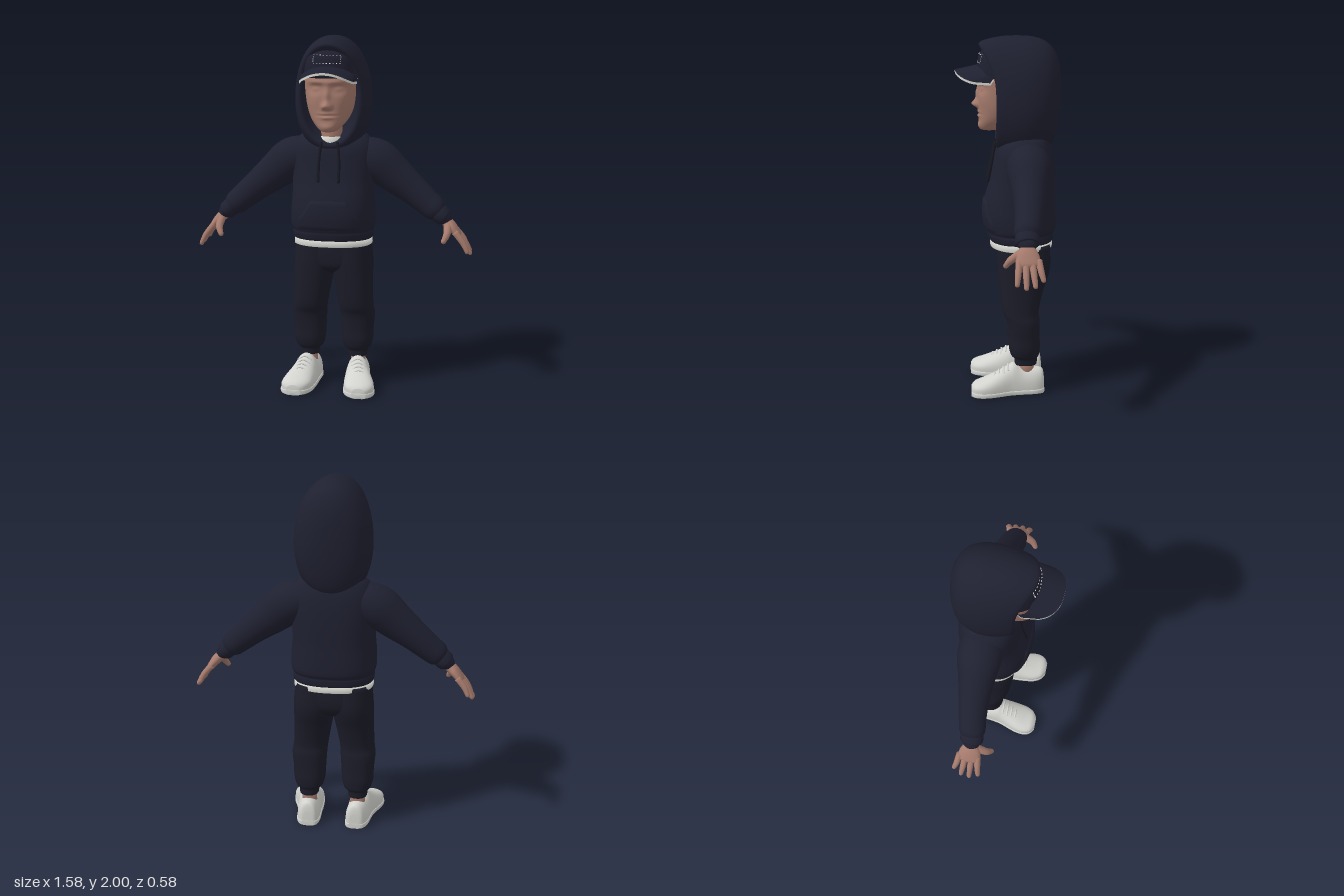
import * as THREE from 'three';

const mat = (name, color, side = THREE.FrontSide) =>
  Object.assign(new THREE.MeshStandardMaterial({ color, side }), { name });
const spow = (v, p) => Math.sign(v) * Math.abs(v) ** p;
const TAU = Math.PI * 2;

// Catmull-Rom resampling of rows of numbers
function smooth(rows, k = 4) {
  const out = [];
  for (let i = 0; i < rows.length - 1; i++) {
    const [a, b, c, d] = [rows[Math.max(i - 1, 0)], rows[i], rows[i + 1], rows[Math.min(i + 2, rows.length - 1)]];
    for (let s = 0; s < k; s++) {
      const t = s / k;
      out.push(b.map((_, m) => b[m] + 0.5 * t * (c[m] - a[m] + t * (2 * a[m] - 5 * b[m] + 4 * c[m] - d[m]
        + t * (3 * (b[m] - c[m]) + d[m] - a[m])))));
    }
  }
  return [...out, rows.at(-1)];
}

function buildGeometry(pos, idx) {
  const g = new THREE.BufferGeometry();
  g.setAttribute('position', new THREE.Float32BufferAttribute(pos, 3));
  g.setIndex(idx);
  g.computeVertexNormals();
  return g;
}

// Closed rings of points joined into a skin, with end caps
function skin(rings, capStart = true, capEnd = true) {
  const n = rings[0].length, pos = rings.flat(2), idx = [];
  for (let i = 0; i < rings.length - 1; i++) for (let j = 0; j < n; j++) {
    const a = i * n + j, b = i * n + (j + 1) % n;
    idx.push(a, b, b + n, a, b + n, a + n);
  }
  const cap = (ring, base, flip) => {
    const c = pos.length / 3;
    pos.push(...[0, 1, 2].map(m => ring.reduce((s, p) => s + p[m], 0) / n));
    for (let j = 0; j < n; j++) {
      const a = base + j, b = base + (j + 1) % n;
      idx.push(c, flip ? b : a, flip ? a : b);
    }
  };
  if (capStart) cap(rings[0], 0, true);
  if (capEnd) cap(rings.at(-1), (rings.length - 1) * n, false);
  return buildGeometry(pos, idx);
}

// Open sheet from a function of (u, v) in 0..1
function sheet(nu, nv, fn) {
  const pos = [], idx = [];
  for (let i = 0; i <= nv; i++) for (let j = 0; j <= nu; j++) pos.push(...fn(j / nu, i / nv));
  for (let i = 0; i < nv; i++) for (let j = 0; j < nu; j++) {
    const a = i * (nu + 1) + j, c = a + nu + 1;
    idx.push(a, a + 1, c + 1, a, c + 1, c);
  }
  return buildGeometry(pos, idx);
}

// Horizontal rings from rows [y, xMin, xMax, zFront, zBack]
const yRings = (rows, n = 48, e = 2.4) => rows.map(([y, x0, x1, zf, zb]) =>
  Array.from({ length: n }, (_, j) => {
    const a = j / n * TAU;
    return [(x0 + x1) / 2 + (x1 - x0) / 2 * spow(Math.sin(a), 2 / e), y,
      (zf + zb) / 2 + (zf - zb) / 2 * spow(Math.cos(a), 2 / e)];
  }));

// Rounded limb along points [x, y, z, radiusAcrossZ, radiusOther]
function limb(points, n = 16, k = 4) {
  const p = smooth(points, k), V = q => new THREE.Vector3(q[0], q[1], q[2]), rings = [];
  const ring = (c, t, ra, rb) => {
    const u = new THREE.Vector3(0, 0, 1).addScaledVector(t, -t.z).normalize(), v = t.clone().cross(u);
    rings.push(Array.from({ length: n }, (_, j) => c.clone().addScaledVector(u, ra * Math.cos(j / n * TAU))
      .addScaledVector(v, rb * Math.sin(j / n * TAU)).toArray()));
  };
  p.forEach((q, i) => {
    const t = V(p[Math.min(i + 1, p.length - 1)]).sub(V(p[Math.max(i - 1, 0)])).normalize();
    ring(V(q), t, q[3], q[4]);
    if (i === p.length - 1) for (const [d, s] of [[0.5, 0.85], [0.85, 0.5]])
      ring(V(q).addScaledVector(t, q[4] * d), t, q[3] * s, q[4] * s);
  });
  return skin(rings);
}

export function createModel() {
  const group = new THREE.Group();
  const navy = mat('navy fabric', 0x1f2030, THREE.DoubleSide), trouser = mat('dark trouser fabric', 0x1b1c28);
  const skinTone = mat('skin', 0xa67b6d), white = mat('white cloth', 0xd6d6d0, THREE.DoubleSide);
  const shoeMat = mat('shoe leather', 0xd2d2ce), cordMat = mat('cord', 0x171822);
  const add = (name, geo, m) => {
    const mesh = new THREE.Mesh(geo, m);
    mesh.name = name;
    group.add(mesh);
  };
  const addPair = (name, geo, m) => {
    add('left ' + name, geo, m);
    const g = geo.clone().scale(-1, 1, 1), ix = g.index.array;
    for (let i = 0; i < ix.length; i += 3) [ix[i], ix[i + 1]] = [ix[i + 1], ix[i]];
    g.computeVertexNormals();
    add('right ' + name, g, m);
  };
  const even = rows => rows.map(([y, w, f, b]) => [y, -w, w, f, b]);

  // Hoodie body with ribbed hem
  const torso = smooth(even([[0.865, 0.212, 0.092, -0.242], [0.875, 0.224, 0.105, -0.252], [0.905, 0.228, 0.115, -0.256],
    [0.918, 0.225, 0.116, -0.256], [0.945, 0.236, 0.126, -0.268], [1.02, 0.237, 0.138, -0.268], [1.1, 0.231, 0.13, -0.265],
    [1.2, 0.23, 0.1, -0.265], [1.3, 0.235, 0.08, -0.26], [1.37, 0.232, 0.068, -0.25], [1.42, 0.21, 0.045, -0.235],
    [1.455, 0.175, 0, -0.215], [1.475, 0.12, -0.05, -0.17]]));
  add('hoodie body', skin(yRings(torso)), navy);
  const frontZ = (rows, x, y, e = 2.4) => {
    const i = Math.max(1, rows.findIndex(r => r[0] >= y)), a = rows[i - 1], b = rows[i], t = (y - a[0]) / (b[0] - a[0]);
    const [, , w, f, k] = a.map((v, m) => v + (b[m] - v) * t);
    return (f + k) / 2 + (f - k) / 2 * (1 - Math.abs(x / w) ** e) ** (1 / e);
  };
  add('front pocket', sheet(24, 12, (u, v) => {
    const y = 0.93 + 0.175 * v, x = (u * 2 - 1) * (v < 0.35 ? 0.185 : 0.185 - 0.085 * ((v - 0.35) / 0.65) ** 0.8);
    return [x, y, frontZ(torso, x, y) + (u % 1 && v % 1 ? 0.008 : -0.003)];
  }), navy);
  add('shirt hem', skin(yRings(even([[0.832, 0.215, 0.09, -0.24], [0.836, 0.222, 0.1, -0.248], [0.875, 0.22, 0.1, -0.248]]))), white);

  // Sleeves and cuffs
  addPair('sleeve', limb([[0.13, 1.34, -0.105, 0.11, 0.1], [0.24, 1.305, -0.105, 0.122, 0.12], [0.34, 1.228, -0.102, 0.1, 0.105],
    [0.44, 1.15, -0.098, 0.084, 0.086], [0.53, 1.075, -0.088, 0.075, 0.074], [0.575, 1.038, -0.08, 0.072, 0.068],
    [0.597, 1.02, -0.078, 0.06, 0.052]], 28), navy);
  addPair('cuff', limb([[0.585, 1.03, -0.078, 0.058, 0.05], [0.6, 1.016, -0.077, 0.064, 0.054],
    [0.626, 0.993, -0.076, 0.062, 0.05], [0.632, 0.988, -0.076, 0.05, 0.04]], 28), navy);

  // Hands
  addPair('palm', limb([[0.6, 1.005, -0.075, 0.038, 0.033], [0.64, 0.972, -0.075, 0.041, 0.03],
    [0.67, 0.945, -0.075, 0.058, 0.028], [0.705, 0.902, -0.078, 0.064, 0.021]], 20), skinTone);
  [['little finger', -0.13, -0.152, 0.75, 0.832], ['ring finger', -0.097, -0.11, 0.772, 0.806],
    ['middle finger', -0.063, -0.064, 0.776, 0.798], ['index finger', -0.03, -0.017, 0.762, 0.812]].forEach(([name, z0, z1, x, y]) =>
    addPair(name, limb([[0.69, 0.92, z0, 0.018, 0.018], [(0.712 + x) / 2, (0.91 + y) / 2, (z0 + z1) / 2, 0.0165, 0.0165],
      [x, y, z1, 0.0125, 0.0125]], 12), skinTone));
  addPair('thumb', limb([[0.65, 0.955, -0.05, 0.024, 0.024], [0.65, 0.915, 0.008, 0.02, 0.02], [0.633, 0.878, 0.036, 0.014, 0.014]], 12), skinTone);

  // Trousers
  addPair('trouser leg', skin(yRings(smooth([[0.165, 0.095, 0.185, -0.04, -0.15], [0.172, 0.087, 0.194, -0.032, -0.158],
    [0.205, 0.083, 0.198, -0.03, -0.16], [0.222, 0.062, 0.214, -0.012, -0.17], [0.27, 0.05, 0.228, 0, -0.176],
    [0.33, 0.046, 0.23, 0, -0.174], [0.42, 0.04, 0.238, 0.01, -0.174], [0.48, 0.034, 0.23, 0.035, -0.168],
    [0.6, 0.012, 0.225, 0.05, -0.195], [0.68, -0.004, 0.225, 0.056, -0.222], [0.75, -0.015, 0.223, 0.06, -0.234],
    [0.86, -0.015, 0.212, 0.06, -0.23]]), 36, 2.3)), trouser);
  add('trouser seat', skin(yRings(smooth(even([[0.66, 0.04, -0.02, -0.14], [0.7, 0.15, 0.045, -0.21],
    [0.76, 0.215, 0.06, -0.234], [0.86, 0.215, 0.06, -0.232]])))), trouser);

  // Shoes, lofted from heel to toe with rows [z, centre, half width, height]
  const shoe = smooth([[-0.2, 0.135, 0.028, 0.085], [-0.19, 0.136, 0.048, 0.135], [-0.15, 0.14, 0.062, 0.146],
    [-0.08, 0.145, 0.066, 0.15], [-0.03, 0.15, 0.068, 0.178], [0, 0.153, 0.072, 0.165], [0.05, 0.163, 0.08, 0.137],
    [0.1, 0.173, 0.086, 0.113], [0.15, 0.18, 0.084, 0.092], [0.19, 0.184, 0.066, 0.078], [0.212, 0.186, 0.034, 0.058]]);
  const shoeRings = (grow, height) => shoe.map(([z, cx, w, h]) => Array.from({ length: 32 }, (_, j) => {
    const s = Math.sin(j / 32 * TAU), c = Math.cos(j / 32 * TAU), top = height ?? h, mid = Math.min(0.045, top * 0.6);
    return [cx - (w + grow) * spow(s, c < 0 || height ? 0.4 : 0.95),
      mid + (c > 0 ? (top - mid) * spow(c, height ? 0.4 : 0.9) : mid * spow(c, 0.4)), z * (1 + grow)];
  }));
  addPair('shoe upper', skin(shoeRings(0)), shoeMat);
  addPair('shoe sole', skin(shoeRings(0.004, 0.032)), shoeMat);
  for (let i = 0; i < 4; i++) {
    const z = 0.005 + i * 0.026, y = 0.165 - i * 0.0142, x = 0.155 + i * 0.005;
    addPair('shoe lace ' + (i + 1), limb([[x - 0.04, y - 0.02, z, 0.006, 0.005], [x, y + 0.003, z, 0.006, 0.005],
      [x + 0.04, y - 0.02, z, 0.006, 0.005]], 8), shoeMat);
  }
  addPair('ankle', skin(yRings([[0.1, 0.095, 0.185, -0.05, -0.145], [0.18, 0.1, 0.18, -0.055, -0.14]], 24, 2)), skinTone);

  // Head: smooth rings with bumps [x, y, width, height, depth] for the features
  const bumps = [[0, 1.632, 0.015, 0.015, 0.032], [0, 1.68, 0.012, 0.035, 0.015], [0, 1.588, 0.026, 0.006, 0.007],
    [0, 1.567, 0.024, 0.007, 0.009], [0, 1.578, 0.034, 0.003, -0.008], [0, 1.512, 0.025, 0.013, 0.005]];
  for (const s of [-1, 1]) bumps.push([s * 0.018, 1.625, 0.008, 0.009, 0.014], [s * 0.064, 1.724, 0.03, 0.018, -0.024],
    [s * 0.064, 1.721, 0.02, 0.01, 0.014], [s * 0.055, 1.757, 0.035, 0.009, 0.008], [s * 0.085, 1.65, 0.03, 0.03, 0.005]);
  const headRings = yRings(smooth(even([[1.484, 0.02, 0.13, 0.07], [1.491, 0.045, 0.152, 0.02], [1.515, 0.072, 0.161, -0.03],
    [1.55, 0.1, 0.16, -0.08], [1.6, 0.122, 0.16, -0.12], [1.66, 0.135, 0.162, -0.14], [1.74, 0.143, 0.168, -0.15],
    [1.8, 0.14, 0.16, -0.15], [1.88, 0.11, 0.12, -0.12]]), 9), 160, 2.3);
  for (const p of headRings.flat()) if (p[2] > 0.02)
    p[2] += bumps.reduce((t, [x, y, sx, sy, d]) => t + d * Math.exp(-(((p[0] - x) / sx) ** 2 + ((p[1] - y) / sy) ** 2) / 2), 0);
  add('head', skin(headRings), skinTone);
  add('neck', skin(yRings(even([[1.35, 0.06, 0.048, -0.07], [1.56, 0.06, 0.05, -0.07]]), 24, 2)), skinTone);
  add('shirt collar', skin(yRings(even([[1.36, 0.068, 0.06, -0.08], [1.45, 0.066, 0.058, -0.08]]), 28, 2)), white);

  // Hood, from inner lining over the rim to the back, rows [z, half width, top, bottom]
  const hood = smooth([[-0.03, 0.115, 1.9, 1.47], [0.03, 0.145, 1.922, 1.43], [0.055, 0.15, 1.926, 1.42], [0.068, 0.164, 1.94, 1.405],
    [0.062, 0.182, 1.96, 1.385], [0.03, 0.197, 1.98, 1.36], [-0.04, 0.211, 2, 1.33], [-0.12, 0.213, 1.999, 1.33],
    [-0.2, 0.19, 1.975, 1.37], [-0.25, 0.15, 1.93, 1.42], [-0.28, 0.09, 1.86, 1.53], [-0.292, 0.03, 1.78, 1.65]]);
  add('hood', skin(hood.map(([z, w, top, bot]) => Array.from({ length: 56 }, (_, j) => {
    const s = Math.sin(j / 56 * TAU), c = Math.cos(j / 56 * TAU), cy = bot + (top - bot) * 0.48;
    const y = cy + (c > 0 ? top - cy : cy - bot) * spow(c, 0.95);
    const lean = THREE.MathUtils.clamp((z + 0.12) / 0.18, 0, 1);
    return [w * spow(s, 0.95), y, z + lean * 0.09 * (Math.max(0, y - 1.7) / 0.25) ** 2];
  })), false, true), navy);
  addPair('drawcord', limb([[0.045, 1.425, 0.07, 0.008, 0.008], [0.054, 1.35, 0.085, 0.008, 0.008],
    [0.057, 1.28, 0.098, 0.008, 0.008], [0.057, 1.21, 0.112, 0.009, 0.009]], 8), cordMat);

  // Cap crown, brim and stitched badge
  const crown = smooth(even([[1.78, 0.148, 0.17, -0.15], [1.85, 0.147, 0.166, -0.15], [1.9, 0.138, 0.157, -0.14], [1.945, 0.1, 0.12, -0.1]]));
  add('cap crown', skin(yRings(crown)), navy);
  const brim = (u, v) => {
    const x = u * 2 - 1, r = (1 - Math.abs(x) ** 2.6) ** (1 / 2.6), z0 = 0.08 + 0.07 * r, z1 = 0.1 + 0.19 * r;
    return [0.155 * x, 1.848 - 0.03 * v - 0.058 * x * x, z0 + (z1 - z0) * v];
  };
  const drop = ([x, y, z], d) => [x, y - d, z];
  add('brim top', sheet(40, 8, (u, v) => brim(u, 1 - v)), navy);
  add('brim underside', sheet(40, 8, (u, v) => drop(brim(u, v), 0.013)), white);
  add('brim edge', sheet(40, 1, (u, v) => drop(brim(u, 1), 0.013 * (1 - v))), white);
  const stitch = (x, y, w, h) => add('badge stitch',
    new THREE.BoxGeometry(w, h, 0.004).translate(x, y, frontZ(crown, x, y) + 0.002), white);
  for (let i = 0; i < 9; i++) for (const y of [1.86, 1.904]) stitch(-0.072 + i * 0.018, y, 0.007, 0.003);
  for (let i = 0; i < 3; i++) for (const x of [-0.076, 0.076]) stitch(x, 1.87 + i * 0.012, 0.003, 0.006);
  return group;
}
